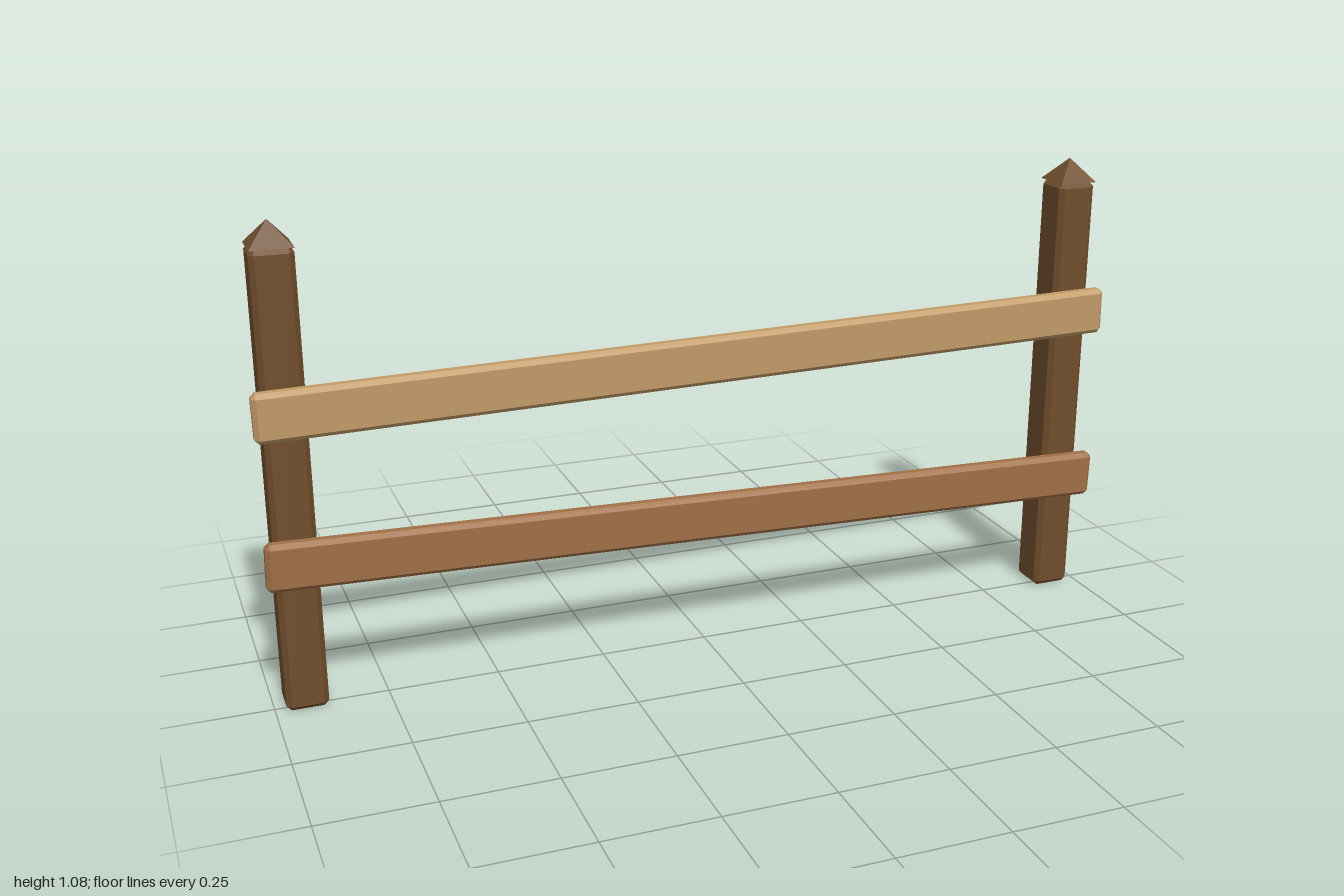
import * as THREE from 'three';
import { ConvexGeometry } from 'three/addons/geometries/ConvexGeometry.js';

// Box with flat chamfers on every edge
function chamferBox(w, h, d, b) {
  const points = [];
  for (const sx of [-1, 1]) for (const sy of [-1, 1]) for (const sz of [-1, 1]) {
    const [x, y, z] = [sx * w / 2, sy * h / 2, sz * d / 2];
    points.push(
      new THREE.Vector3(x, y - sy * b, z - sz * b),
      new THREE.Vector3(x - sx * b, y, z - sz * b),
      new THREE.Vector3(x - sx * b, y - sy * b, z));
  }
  return new ConvexGeometry(points);
}

function material(name, color) {
  const m = new THREE.MeshStandardMaterial({ color });
  m.name = name;
  return m;
}

export function createModel() {
  const group = new THREE.Group();
  group.name = 'fence';
  const darkWood = material('darkWood', 0x704e2d);
  const paleWood = material('paleWood', 0xc19a68);
  const midWood = material('midWood', 0xa07047);

  const add = (name, geometry, mat, x, y, z, tilt = 0) => {
    const mesh = new THREE.Mesh(geometry, mat);
    mesh.name = name;
    mesh.position.set(x, y, z);
    mesh.rotation.z = tilt;
    group.add(mesh);
  };

  // Posts with pyramid caps
  const postWidth = 0.092, postHeight = 1.024, postZ = -0.018;
  const postGeometry = chamferBox(postWidth, postHeight, postWidth, 0.011);
  const capGeometry = new THREE.ConeGeometry(postWidth / Math.SQRT2, 0.053, 4)
    .rotateY(Math.PI / 4).toNonIndexed();
  capGeometry.computeVertexNormals();
  for (const [side, x] of [['left', 0.93], ['right', -0.93]]) {
    add(side + 'Post', postGeometry, darkWood, x, postHeight / 2, postZ);
    add(side + 'PostCap', capGeometry, darkWood, x, postHeight + 0.0265, postZ);
  }

  // Two slightly tilted rails across the front of the posts
  const railGeometry = chamferBox(1.998, 0.108, 0.036, 0.01);
  add('upperRail', railGeometry, paleWood, 0, 0.70, 0.047, 0.0175);
  add('lowerRail', railGeometry, midWood, 0, 0.327, 0.047, -0.0262);

  return group;
}
